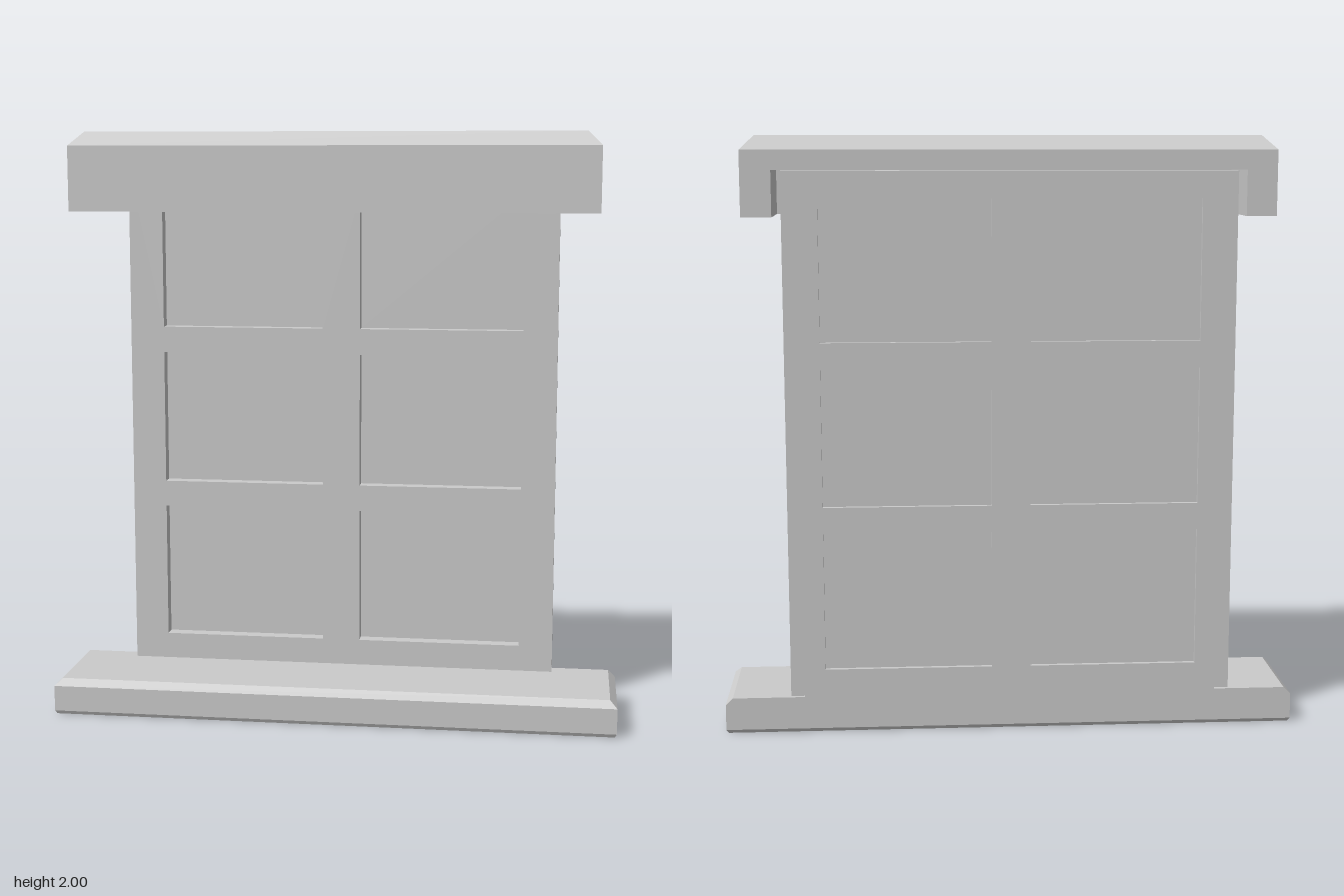
import * as THREE from 'three';

const material = new THREE.MeshStandardMaterial({ color: 0xcccccc, flatShading: true });

function part(name, geometry) {
  const mesh = new THREE.Mesh(geometry, material);
  mesh.name = name;
  return mesh;
}

// Box from its lower and upper corners
function block(x0, x1, y0, y1, z0, z1) {
  return new THREE.BoxGeometry(x1 - x0, y1 - y0, z1 - z0)
    .translate((x0 + x1) / 2, (y0 + y1) / 2, (z0 + z1) / 2);
}

// Closed solid through stacked rectangles [y, halfWidth, zBack, zFront]
function loft(rings) {
  const corners = rings.map(([y, x, z0, z1]) => [[x, y, z1], [x, y, z0], [-x, y, z0], [-x, y, z1]]);
  const pos = [];
  const quad = (a, b, c, d) => pos.push(...a, ...b, ...c, ...a, ...c, ...d);
  for (let r = 0; r < corners.length - 1; r++) {
    const a = corners[r], b = corners[r + 1];
    for (let i = 0; i < 4; i++) {
      const j = (i + 1) % 4;
      quad(a[i], a[j], b[j], b[i]);
    }
  }
  quad(...corners[corners.length - 1]);
  quad(...[...corners[0]].reverse());
  const geometry = new THREE.BufferGeometry();
  geometry.setAttribute('position', new THREE.Float32BufferAttribute(pos, 3));
  geometry.computeVertexNormals();
  return geometry;
}

function rectPath(Type, x0, x1, y0, y1) {
  return new Type([[x0, y0], [x1, y0], [x1, y1], [x0, y1]].map(p => new THREE.Vector2(...p)));
}

export function createModel() {
  const model = new THREE.Group();
  model.name = 'window';
  const back = -0.18, front = 0.193;

  // Sill: top edge chamfered on the front and ends, fine chamfer underneath
  model.add(part('sill', loft([
    [0, 0.96, back + 0.006, front - 0.006],
    [0.012, 0.967, back, front],
    [0.1, 0.967, back, front],
    [0.123, 0.943, back, front - 0.024],
  ])));
  model.add(part('sillSeat', block(-0.7, 0.7, 0.12, 0.14, back, -0.14)));

  // Sash frame with a grid of openings, and a thin pane in each
  const frameBack = -0.193, frameFront = -0.1;
  const outline = rectPath(THREE.Shape, -0.745, 0.745, 0.132, 1.887);
  const panes = new THREE.Group();
  panes.name = 'panes';
  for (const [y0, y1] of [[0.222, 0.69], [0.78, 1.24], [1.33, 1.797]]) {
    for (const [x0, x1] of [[-0.628, -0.065], [0.065, 0.628]]) {
      outline.holes.push(rectPath(THREE.Path, x0, x1, y0, y1));
      panes.add(part('pane', block(x0, x1, y0, y1, -0.178, -0.145)));
    }
  }
  const frame = new THREE.ExtrudeGeometry(outline, { depth: frameFront - frameBack, bevelEnabled: false });
  model.add(part('sashFrame', frame.translate(0, 0, frameBack)), panes);

  // Head: chamfered cap over a skirt that is open at the back and below
  const head = new THREE.Group();
  head.name = 'head';
  const w = 0.876, wall = 0.1, split = 1.89, bottom = 1.738, c = 0.046;
  head.add(part('headCap', loft([
    [split, w, back, front],
    [2 - c, w, back, front],
    [2, w - c, back + c, front - c],
  ])));
  const plan = new THREE.Shape([
    [-w, back], [-w + wall, back], [-w + wall, front - wall], [w - wall, front - wall],
    [w - wall, back], [w, back], [w, front], [-w, front],
  ].map(p => new THREE.Vector2(...p)));
  const skirt = new THREE.ExtrudeGeometry(plan, { depth: split - bottom, bevelEnabled: false });
  head.add(part('headSkirt', skirt.rotateX(Math.PI / 2).translate(0, split, 0)));
  model.add(head);

  return model;
}
